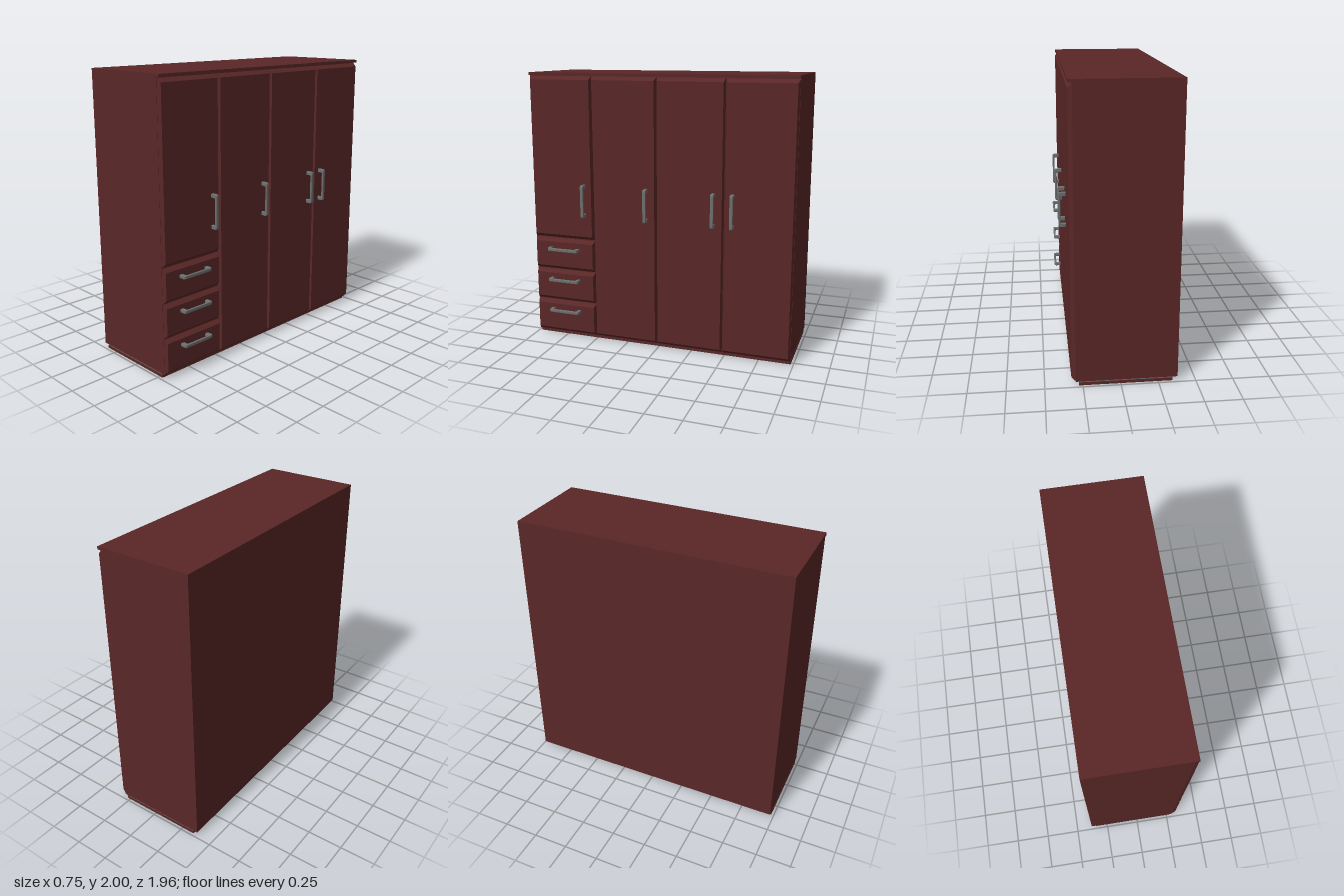
import * as THREE from 'three';

const wood = new THREE.MeshStandardMaterial({ name: 'dark red wood', color: 0x5a2727 });
const metal = new THREE.MeshStandardMaterial({ name: 'grey metal', color: 0x6c706e });
const HALF = 0.98; // half of the wardrobe's width

// Box given by its limits on each axis
function block(name, material, [x0, x1], [y0, y1], [z0, z1]) {
  const mesh = new THREE.Mesh(new THREE.BoxGeometry(x1 - x0, y1 - y0, z1 - z0), material);
  mesh.position.set((x0 + x1) / 2, (y0 + y1) / 2, (z0 + z1) / 2);
  mesh.name = name;
  return mesh;
}

// Front panel whose outer face is drawn in to give sloping edges
function panel(name, y, z) {
  const mesh = block(name, wood, [0.295, 0.325], y, z);
  const p = mesh.geometry.attributes.position;
  for (let i = 0; i < p.count; i++) {
    if (p.getX(i) < 0) continue;
    p.setY(i, p.getY(i) - Math.sign(p.getY(i)) * 0.027);
    p.setZ(i, p.getZ(i) - Math.sign(p.getZ(i)) * 0.011);
  }
  mesh.geometry.computeVertexNormals();
  return mesh;
}

// Bracket handle: two feet and a bar, with rounded outer corners
function makeHandleGeometry() {
  const h = 0.122, out = 0.052, r = 0.016, foot = 0.028, bar = 0.037;
  const s = new THREE.Shape();
  s.moveTo(0, -h);
  s.lineTo(out - r, -h);
  s.quadraticCurveTo(out, -h, out, -h + r);
  s.lineTo(out, h - r);
  s.quadraticCurveTo(out, h, out - r, h);
  s.lineTo(0, h);
  s.lineTo(0, h - foot);
  s.lineTo(bar - 0.008, h - foot);
  s.quadraticCurveTo(bar, h - foot, bar, h - foot - 0.008);
  s.lineTo(bar, -h + foot + 0.008);
  s.quadraticCurveTo(bar, -h + foot, bar - 0.008, -h + foot);
  s.lineTo(0, -h + foot);
  s.closePath();
  const g = new THREE.ExtrudeGeometry(s, {
    depth: 0.014, bevelEnabled: true, bevelThickness: 0.005,
    bevelSize: 0.004, bevelOffset: -0.004, bevelSegments: 2, curveSegments: 6,
  });
  return g.translate(0, 0, -0.007);
}

export function createModel() {
  const model = new THREE.Group();
  model.name = 'wardrobe';

  // Carcass, overhanging top, base
  model.add(
    block('carcass', wood, [-0.38, 0.297], [0.028, 1.98], [-HALF, HALF]),
    block('topBoard', wood, [-0.38, 0.322], [1.98, 2], [-HALF, HALF]),
    block('baseStrip', metal, [-0.345, 0.275], [0.021, 0.028], [-HALF + 0.002, HALF - 0.002]),
    block('plinth', wood, [-0.345, 0.275], [0, 0.021], [-HALF, HALF]),
  );

  const handleGeometry = makeHandleGeometry();
  const addHandle = (name, y, z, horizontal) => {
    const handle = new THREE.Mesh(handleGeometry, metal);
    handle.name = name;
    handle.position.set(0.323, y, z);
    if (horizontal) handle.rotation.x = Math.PI / 2;
    model.add(handle);
  };

  // Four doors, the first one shortened to leave room for drawers
  const edges = [HALF, 0.494, 0.004, -0.488, -HALF];
  const doorHandles = [0.56, 0.077, -0.417, -0.553];
  doorHandles.forEach((z, i) => {
    const bottom = i === 0 ? 0.778 : 0.03;
    model.add(panel(`door${i + 1}`, [bottom, 1.977], [edges[i + 1] + 0.001, edges[i] - 0.001]));
    addHandle(`doorHandle${i + 1}`, 1.078, z, false);
  });

  // Three drawers below the short door
  const levels = [0.03, 0.284, 0.53, 0.776];
  [0.213, 0.457, 0.697].forEach((y, i) => {
    model.add(panel(`drawer${i + 1}`, [levels[i], levels[i + 1] - 0.002], [edges[1] + 0.001, edges[0] - 0.001]));
    addHandle(`drawerHandle${i + 1}`, y, 0.733, true);
  });

  return model;
}
